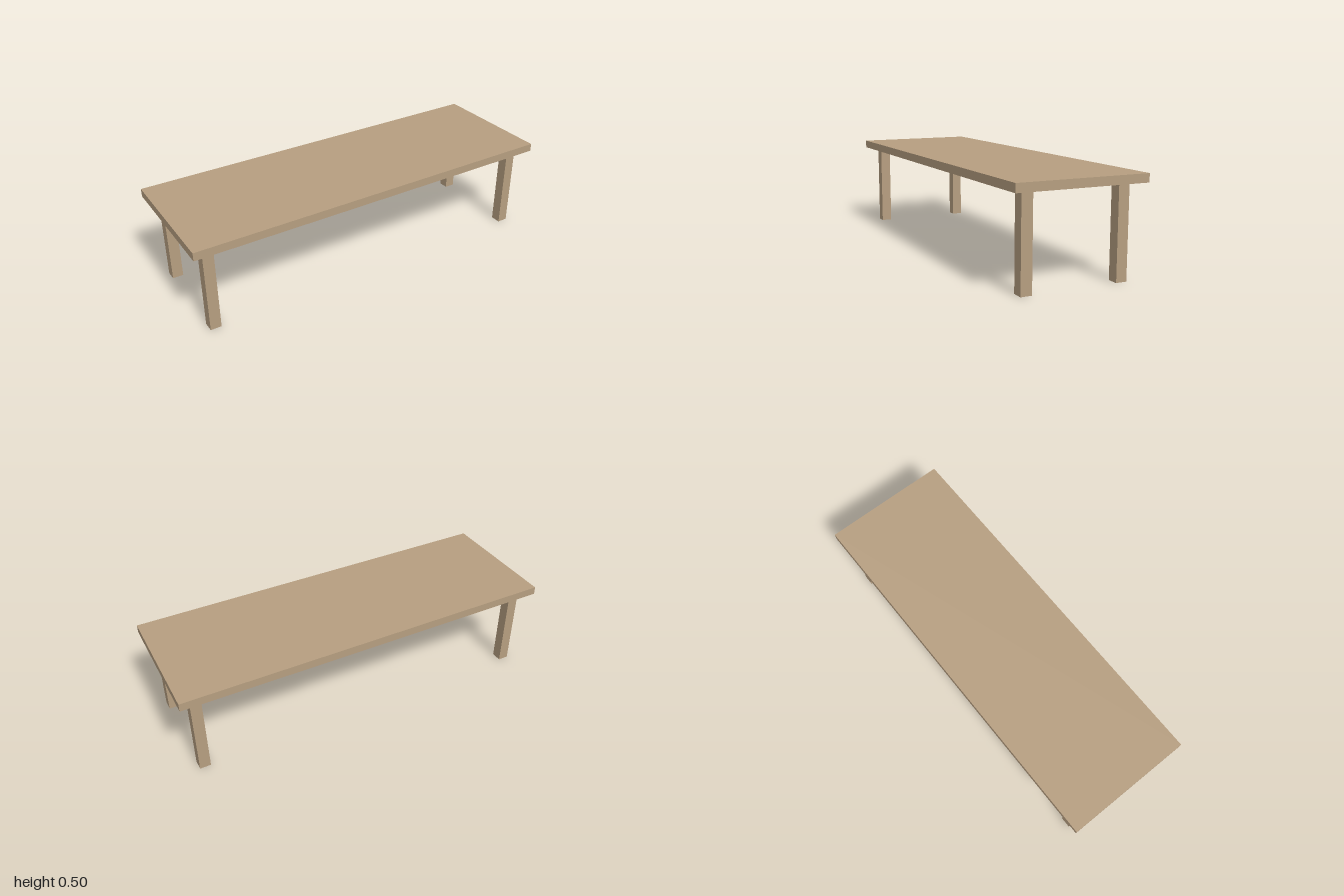
import * as THREE from 'three';

export function createModel() {
  const table = new THREE.Group();
  table.name = 'table';
  const wood = new THREE.MeshStandardMaterial({ color: 0xb69e80 });

  const height = 0.5, topThickness = 0.042, legWidth = 0.056;
  const legHeight = height - topThickness;

  // Box standing on the given base height
  function addBox(name, w, h, d, x, base, z) {
    const mesh = new THREE.Mesh(new THREE.BoxGeometry(w, h, d), wood);
    mesh.name = name;
    mesh.position.set(x, base + h / 2, z);
    table.add(mesh);
  }

  // Flat slab top
  addBox('tableTop', 2, topThickness, 0.667, 0, legHeight, 0);

  // Four square legs, set in from the edges
  for (const [sideName, sx] of [['Left', 1], ['Right', -1]]) {
    for (const [endName, sz] of [['front', 1], ['back', -1]]) {
      addBox(`${endName}${sideName}Leg`, legWidth, legHeight, legWidth, sx * 0.911, 0, sz * 0.245);
    }
  }

  return table;
}
